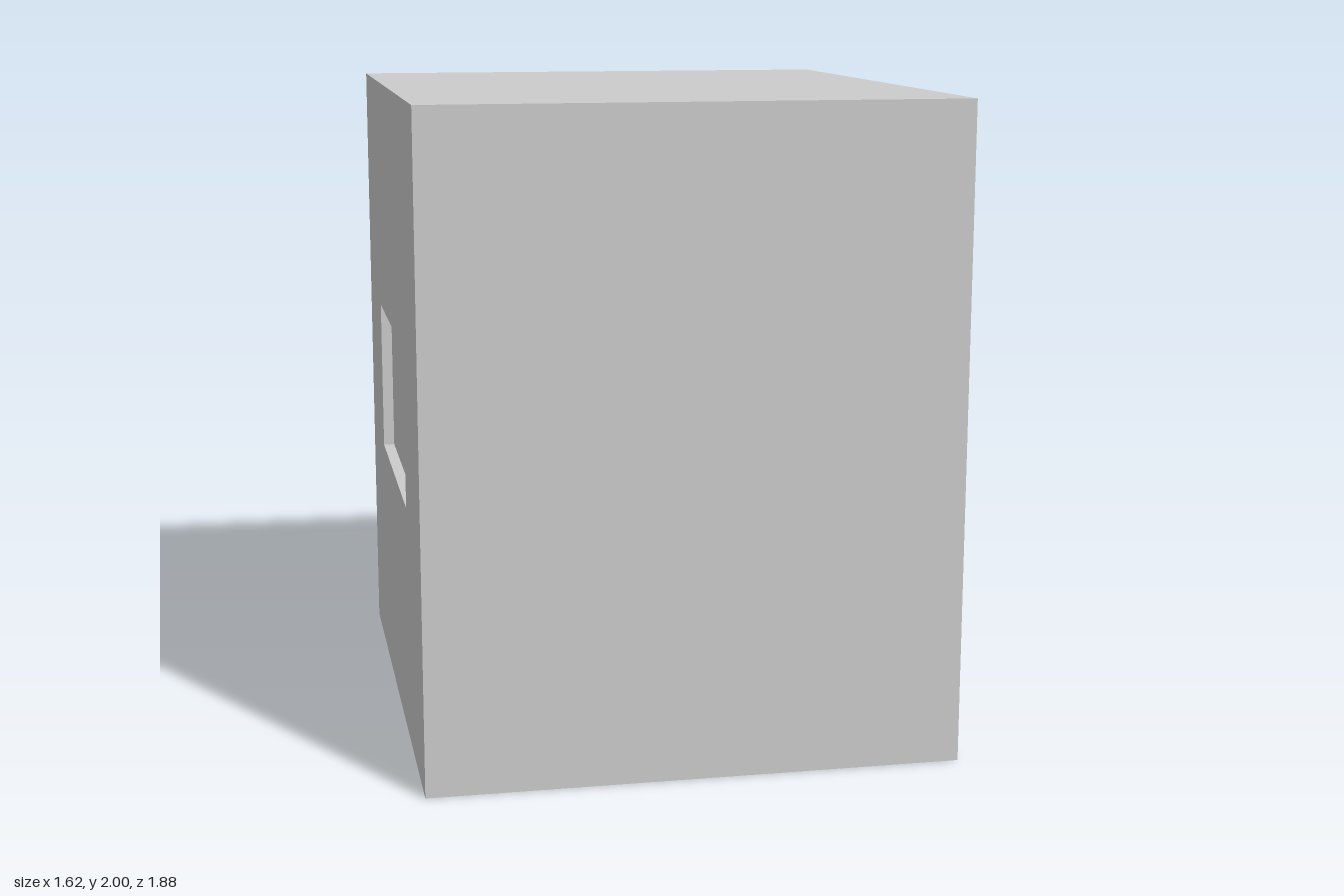
import * as THREE from 'three';

const W = 0.81, H = 2, BACK = -0.905, FRONT = 0.94;
const shell = new THREE.MeshStandardMaterial({ color: 0xcccccc });
const lining = new THREE.MeshStandardMaterial({ color: 0xcccccc, side: THREE.DoubleSide, flatShading: true });

// Flat wall in its own plane, with cut-outs given as [u, v] outlines
function wall(name, u0, u1, v0, v1, holes = []) {
  const toPts = (list) => list.map(([u, v]) => new THREE.Vector2(u, v));
  const shape = new THREE.Shape(toPts([[u0, v0], [u1, v0], [u1, v1], [u0, v1]]));
  for (const h of holes) shape.holes.push(new THREE.Path(toPts(h)));
  const mesh = new THREE.Mesh(new THREE.ShapeGeometry(shape), shell);
  mesh.name = name;
  return mesh;
}

// Skin between successive rows of [u, v, depth]; depth runs into the wall
function loft(name, lofts) {
  const pos = [];
  for (const rows of lofts)
    for (let r = 0; r + 1 < rows.length; r++)
      for (let i = 0; i + 1 < rows[r].length; i++) {
        const a = rows[r][i], b = rows[r + 1][i], c = rows[r + 1][i + 1], d = rows[r][i + 1];
        for (const [u, v, dep] of [a, b, c, a, c, d]) pos.push(u, v, -dep);
      }
  const geo = new THREE.BufferGeometry();
  geo.setAttribute('position', new THREE.Float32BufferAttribute(pos, 3));
  geo.computeVertexNormals();
  const mesh = new THREE.Mesh(geo, lining);
  mesh.name = name;
  return mesh;
}

const rect = (u0, u1, v0, v1) => [[u0, v0], [u1, v0], [u1, v1], [u0, v1]];
const closed = (list) => [...list, list[0]];
const at = (list, d) => list.map(([u, v]) => [u, v, d]);

// Plain rectangular pocket
function pocket(name, outline, depth) {
  const b = at(outline, depth);
  return loft(name, [
    [closed(at(outline, 0)), closed(b)],
    [[b[0], b[1]], [b[3], b[2]]],
  ]);
}

// Basin alcove: chamfered floor, sloping back, hanging spout block
function basin(outline) {
  const depths = [0.22, 0.22, 0.15, 0.15, 0.22, 0.22];
  const back = outline.map(([u, v], i) => [u, v, depths[i]]);
  const group = new THREE.Group();
  group.name = 'basinAlcove';
  group.add(loft('basinLining', [
    [closed(at(outline, 0)), closed(back)],
    [[back[0], back[5]], [back[1], back[4]], [back[2], back[3]]],
  ]));
  const spout = new THREE.Mesh(new THREE.BoxGeometry(0.29, 0.15, 0.15), shell);
  spout.name = 'spoutBlock';
  spout.position.set(-0.035, 0.575, -0.145);
  group.add(spout);
  return group;
}

// Tall niche: splayed back, deeper below the step, sloping sill
function niche() {
  const us = [0.43, 0.43, 0.505, 0.625, 0.70, 0.70];
  const plan = (y, s) => us.map((u, i) => [u, y, [0, s, s + 0.07, s + 0.07, s, 0][i]]);
  const edge = (y) => us.map((u) => [u, y, 0]);
  const sill = [0.43, 0.43, 0.53, 0.625, 0.70, 0.70].map((u, i) => [u, 0.08, i % 5 ? 0.06 : 0]);
  return loft('tallNiche', [[
    edge(0.61), plan(0.61, 0.03), plan(0.35, 0.03),
    plan(0.35, 0.11), plan(0.15, 0.11), sill, edge(0.08),
  ]]);
}

export function createModel() {
  const model = new THREE.Group();
  model.name = 'cabin';

  // A side is built facing +z, then turned into place
  const side = (name, position, rotation, ...parts) => {
    const g = new THREE.Group();
    g.name = name;
    g.position.set(...position);
    g.rotation.set(...rotation);
    g.add(...parts);
    model.add(g);
  };
  const q = Math.PI / 2;

  // Plain sides
  side('frontSide', [0, 0, FRONT], [0, 0, 0], wall('frontWall', -W, W, 0, H));
  side('backSide', [0, 0, BACK], [0, Math.PI, 0], wall('backWall', -W, W, 0, H));
  side('topSide', [0, H, 0], [-q, 0, 0], wall('roof', -W, W, -FRONT, -BACK));

  // Service side with three openings
  const slot = rect(-0.72, -0.57, 0.53, 0.61);
  const bowl = [[-0.27, 0.65], [-0.27, 0.42], [-0.15, 0.30], [0.07, 0.30], [0.19, 0.42], [0.19, 0.65]];
  side('serviceSide', [W, 0, 0], [0, q, 0],
    wall('serviceWall', -FRONT, -BACK, 0, H, [slot, bowl, rect(0.43, 0.70, 0.08, 0.61)]),
    pocket('smallSlot', slot, 0.07), basin(bowl), niche());

  // Opposite side with a shallow panel recess
  const panel = rect(-0.435, 0.465, 0.75, 1.24);
  side('panelSide', [-W, 0, 0], [0, -q, 0],
    wall('panelWall', BACK, FRONT, 0, H, [panel]), pocket('panelRecess', panel, 0.035));

  // Underside with a long pocket
  const tray = rect(-0.40, 0.70, 0.40, 0.855);
  side('underside', [0, 0, 0], [q, 0, 0],
    wall('floor', -W, W, BACK, FRONT, [tray]), pocket('floorPocket', tray, 0.11));

  // Raised door on the back
  const door = new THREE.Mesh(new THREE.BoxGeometry(0.68, 1.59, 0.04), shell);
  door.name = 'door';
  door.position.set(-0.40, 0.795, BACK - 0.02);
  model.add(door);

  return model;
}
